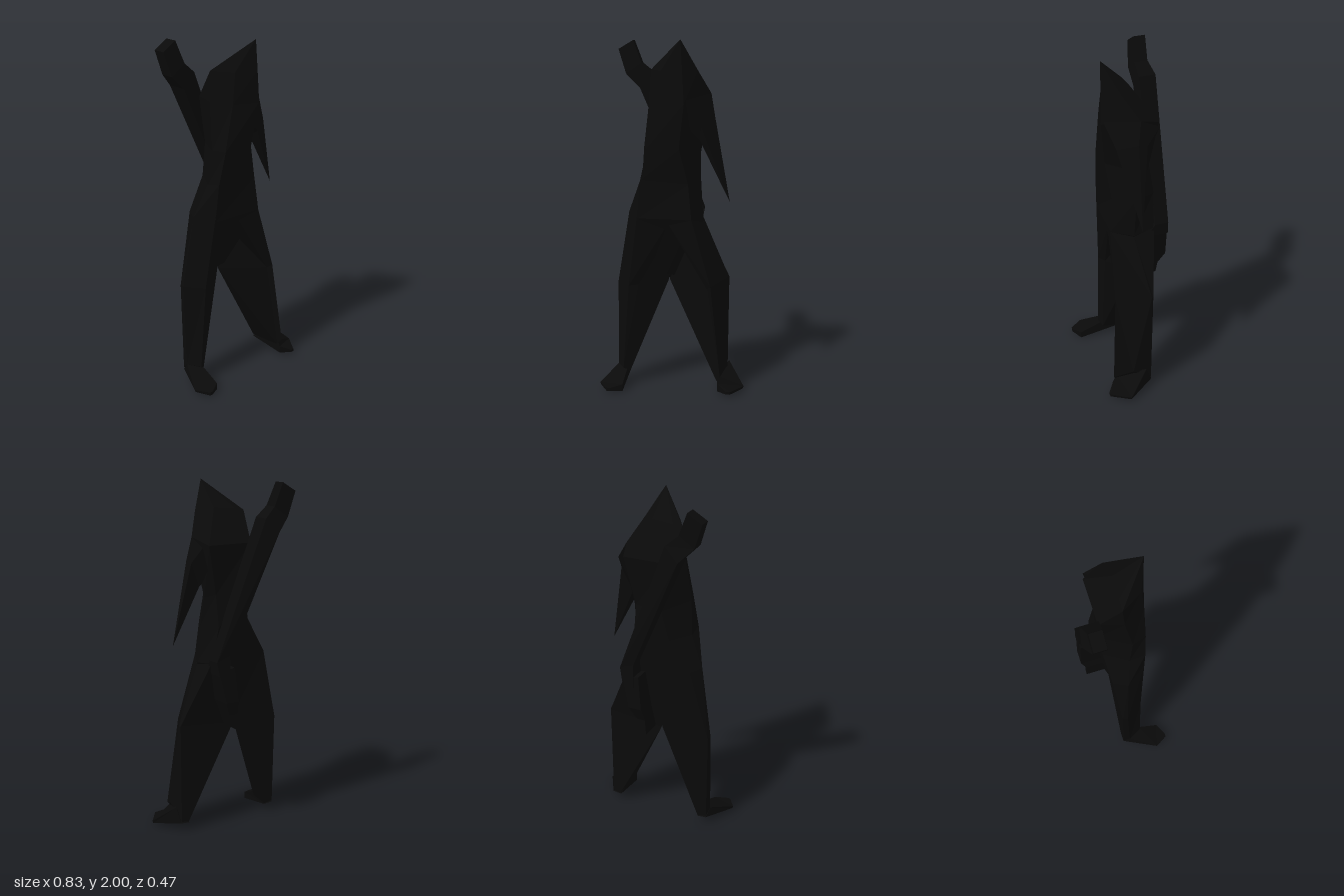
import * as THREE from 'three';

const black = new THREE.MeshStandardMaterial({ color: 0x0a0a0a, flatShading: true, side: THREE.DoubleSide });
black.name = 'matt black';

// Skins a list of cross-section rings (equal point counts) and caps both ends.
function loft(name, rings) {
  const n = rings[0].length;
  const tris = [];
  for (let r = 0; r < rings.length - 1; r++) {
    for (let i = 0; i < n; i++) {
      const j = (i + 1) % n;
      const [a, b, c, d] = [rings[r][i], rings[r][j], rings[r + 1][j], rings[r + 1][i]];
      tris.push([a, d, b], [b, d, c]);
    }
  }
  const cap = (ring, flip) => {
    const mid = [0, 1, 2].map(k => ring.reduce((s, p) => s + p[k], 0) / n);
    ring.forEach((p, i) => {
      const q = ring[(i + 1) % n];
      tris.push(flip ? [mid, q, p] : [mid, p, q]);
    });
  };
  cap(rings[0], false);
  cap(rings[rings.length - 1], true);

  // Signed volume decides which way the faces must turn
  const volume = tris.reduce((s, t) => {
    const [a, b, c] = t.map(p => new THREE.Vector3(...p));
    return s + a.dot(b.cross(c));
  }, 0);
  const pos = tris.flatMap(t => (volume < 0 ? [t[0], t[2], t[1]] : t).flat());
  const geo = new THREE.BufferGeometry();
  geo.setAttribute('position', new THREE.Float32BufferAttribute(pos, 3));
  geo.computeVertexNormals();
  const mesh = new THREE.Mesh(geo, black);
  mesh.name = name;
  return mesh;
}

// Ring of a flat bar: two edge points in x,y, swept between two depths.
const barRing = ([x1, y1, x2, y2, front, back, back2 = back]) => [
  [x1, y1, front], [x2, y2, front], [x2, y2, back2], [x1, y1, back],
];

export function createModel() {
  const group = new THREE.Group();
  group.name = 'cloakedFigure';

  // Pointed hood, chest, waist and hips; ring order: right, two front, left, two back
  group.add(loft('hoodedTorso', [
    Array.from({ length: 6 }, () => [0.05, 2, 0.165]),
    [[-0.13, 1.83, 0], [-0.06, 1.83, 0.12], [0.06, 1.83, 0.17], [0.14, 1.83, 0.08], [0.06, 1.85, 0.01], [-0.07, 1.84, 0]],
    [[-0.14, 1.66, 0.01], [-0.085, 1.66, 0.13], [0.07, 1.65, 0.175], [0.21, 1.7, 0], [0.17, 1.66, -0.12], [-0.1, 1.66, -0.12]],
    [[-0.165, 1.4, 0.05], [-0.14, 1.4, 0.13], [0.04, 1.4, 0.145], [0.15, 1.36, -0.03], [0.11, 1.38, -0.09], [-0.06, 1.38, -0.12]],
    [[-0.18, 1.2, 0.03], [-0.18, 1.22, 0.12], [0.09, 1.2, 0.125], [0.155, 1.2, 0], [0.11, 1.2, -0.12], [-0.1, 1.2, -0.1]],
    [[-0.26, 1.02, 0], [-0.2, 1, 0.11], [0.11, 1, 0.14], [0.17, 0.98, 0.02], [0.15, 1, -0.11], [-0.22, 1.02, -0.08]],
    [[-0.06, 0.66, -0.04], [-0.05, 0.64, -0.03], [0, 0.64, -0.03], [0.01, 0.66, -0.04], [-0.01, 0.62, -0.05], [-0.05, 0.62, -0.05]],
  ]));

  // Pointed sleeve hanging from the left shoulder
  const tip = [0.32, 1.09, 0.03];
  group.add(loft('hangingSleeve', [
    [[0.08, 1.67, 0.165], [0.21, 1.7, 0], [0.205, 1.65, -0.11], [0.15, 1.5, -0.08], [0.14, 1.44, 0], [0.1, 1.5, 0.1]],
    [[0.16, 1.53, 0.12], [0.233, 1.57, 0.02], [0.23, 1.56, -0.03], [0.17, 1.42, -0.01], [0.17, 1.41, 0.02], [0.15, 1.45, 0.09]],
    Array.from({ length: 6 }, () => tip),
  ]));

  // Legs; ring order: front, inner front, inner back, outer back, outer
  group.add(loft('rightLeg', [
    [[-0.19, 1.1, 0.115], [-0.02, 0.98, 0.1], [0, 0.95, -0.07], [-0.22, 1.02, -0.08], [-0.26, 1.02, 0]],
    [[-0.255, 0.6, 0.085], [-0.2, 0.6, 0.06], [-0.035, 0.61, -0.05], [-0.325, 0.6, -0.05], [-0.33, 0.6, -0.02]],
    [[-0.29, 0.1, 0.08], [-0.255, 0.07, 0.06], [-0.265, 0.05, -0.04], [-0.32, 0.06, -0.04], [-0.33, 0.1, 0]],
  ]));
  group.add(loft('leftLeg', [
    [[0.11, 1, 0.14], [-0.03, 0.98, 0.11], [-0.03, 0.95, -0.07], [0.15, 1, -0.11], [0.17, 0.97, 0.02]],
    [[0.22, 0.62, 0.155], [0.2, 0.6, 0.13], [-0.03, 0.61, -0.05], [0.315, 0.64, -0.04], [0.32, 0.64, -0.03]],
    [[0.28, 0.1, 0.19], [0.26, 0.07, 0.17], [0.265, 0.05, -0.035], [0.31, 0.06, -0.035], [0.32, 0.14, 0.08]],
  ]));

  // Feet, turned outwards
  group.add(loft('rightFoot', [
    [[-0.33, 0.1, 0], [-0.27, 0.09, 0.075], [-0.265, 0.045, -0.04], [-0.32, 0.05, -0.04]],
    [[-0.415, 0.035, 0.16], [-0.28, 0.04, 0.2], [-0.28, 0, 0.2], [-0.41, 0.02, 0.16]],
    [[-0.365, 0.03, 0.235], [-0.345, 0.03, 0.235], [-0.345, 0.01, 0.235], [-0.365, 0.01, 0.235]],
  ]));
  group.add(loft('leftFoot', [
    [[0.325, 0.14, 0], [0.265, 0.1, 0.17], [0.26, 0.045, -0.035], [0.315, 0.05, -0.035]],
    [[0.415, 0.03, 0.13], [0.265, 0.06, 0.19], [0.265, 0.015, 0.19], [0.41, 0.015, 0.13]],
    [[0.34, 0.03, 0.235], [0.32, 0.03, 0.235], [0.32, 0.015, 0.235], [0.34, 0.015, 0.235]],
  ]));

  // Long bar slung diagonally across the back, with a grip above the shoulder
  group.add(loft('backBar', [
    [-0.335, 1.94, -0.25, 1.99, -0.14, -0.21],
    [-0.29, 1.8, -0.2, 1.86, -0.125, -0.205],
    [-0.21, 1.72, -0.13, 1.8, -0.125, -0.238, -0.225],
    [0.08, 1.05, 0.165, 1.02, -0.11, -0.19],
    [0.08, 0.9, 0.15, 0.94, -0.06, -0.195],
  ].map(barRing)));

  // Tapered tail at the lower end of the bar
  group.add(loft('barTail', [
    [0.05, 0.98, 0.15, 0.96, -0.06, -0.19],
    [0.03, 0.78, 0.11, 0.78, -0.05, -0.2],
    [0.02, 0.7, 0.07, 0.7, -0.05, -0.17],
    [0.01, 0.61, 0.03, 0.61, -0.05, -0.175],
  ].map(barRing)));

  return group;
}
